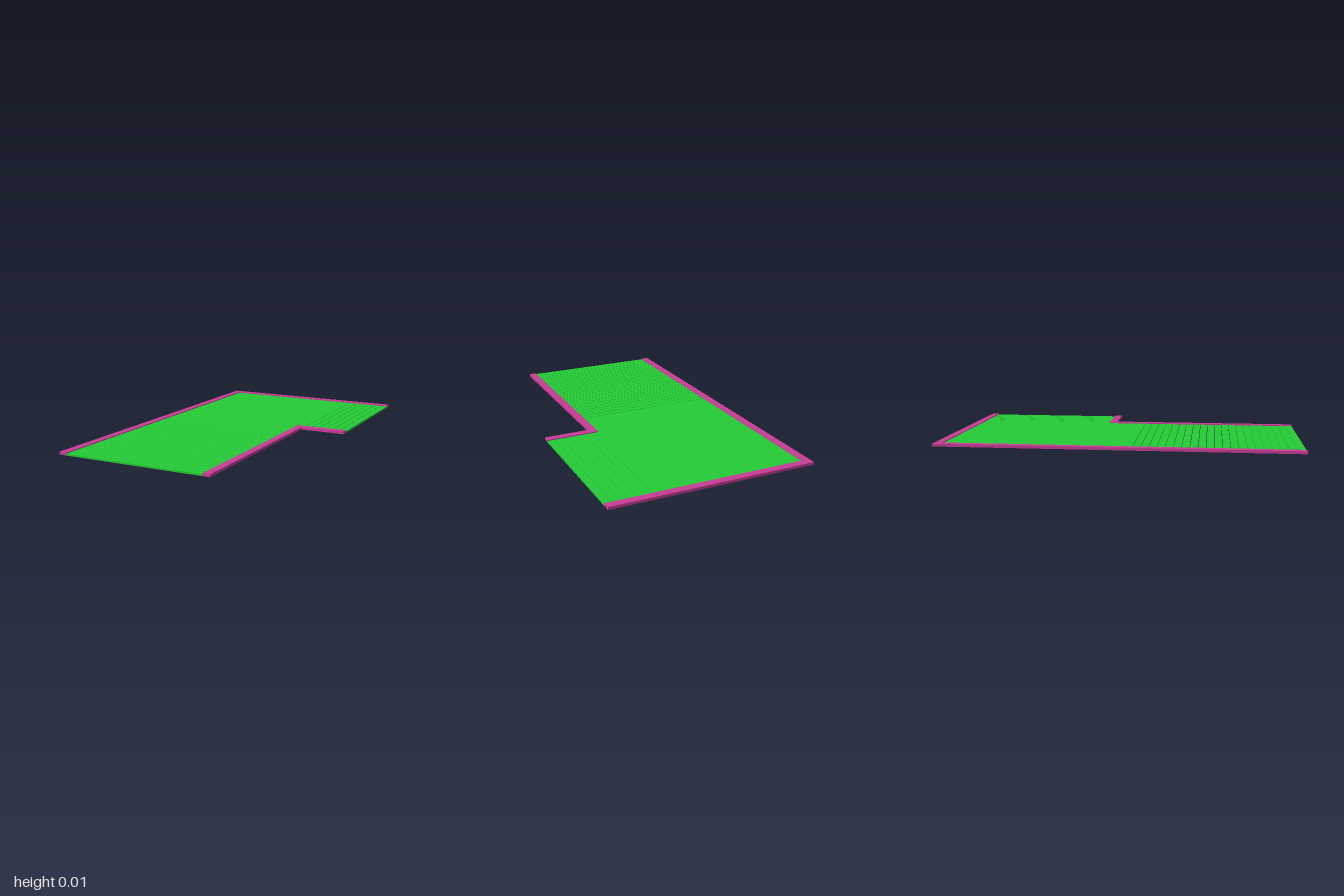
import * as THREE from 'three';

export function createModel() {
  const model = new THREE.Group();
  const green = new THREE.MeshStandardMaterial({ color: 0x24cc36 });
  const pink = new THREE.MeshStandardMaterial({ color: 0xc83c96 });
  const floorTop = 0.01, wallTop = 0.015;

  // Extrudes a plan outline given as [x, z] points up from the ground
  function slab(name, points, height, material) {
    const shape = new THREE.Shape(points.map(([x, z]) => new THREE.Vector2(x, -z)));
    const geometry = new THREE.ExtrudeGeometry(shape, { depth: height, bevelEnabled: false });
    geometry.rotateX(-Math.PI / 2);
    const mesh = new THREE.Mesh(geometry, material);
    mesh.name = name;
    model.add(mesh);
  }

  // Box between two plan corners, standing on the ground
  function plank(name, x0, x1, z0, z1) {
    const mesh = new THREE.Mesh(new THREE.BoxGeometry(x1 - x0, floorTop, z1 - z0), green);
    mesh.position.set((x0 + x1) / 2, floorTop / 2, (z0 + z1) / 2);
    mesh.name = name;
    model.add(mesh);
  }

  // Plain floor with a notch at the inside corner
  slab('floor', [[-0.542, -0.957], [0.32, -0.957], [0.32, -0.145],
    [0.278, -0.145], [0.278, 0.085], [-0.542, 0.085]], floorTop, green);

  // Slats with fine joints, along the front wing and the side wing
  const joint = 0.003;
  const frontCount = 21, frontPitch = (1 - 0.085) / frontCount;
  for (let i = 0; i < frontCount; i++) {
    const z = 0.085 + i * frontPitch;
    plank('frontSlat', -0.542, 0.278, z + joint, z + frontPitch);
  }
  const sideCount = 6, sidePitch = (0.583 - 0.32) / sideCount;
  for (let i = 0; i < sideCount; i++) {
    const x = 0.32 + i * sidePitch;
    plank('sideSlat', x + joint, x + sidePitch, -0.957, -0.145);
  }

  // Outer border along the back and right, inner border round the corner
  slab('outerBorder', [[-0.587, -1], [0.583, -1], [0.583, -0.957],
    [-0.542, -0.957], [-0.542, 1], [-0.587, 1]], wallTop, pink);
  slab('innerBorder', [[0.278, -0.145], [0.583, -0.145], [0.583, -0.102],
    [0.32, -0.102], [0.32, 1], [0.278, 1]], wallTop, pink);

  return model;
}
